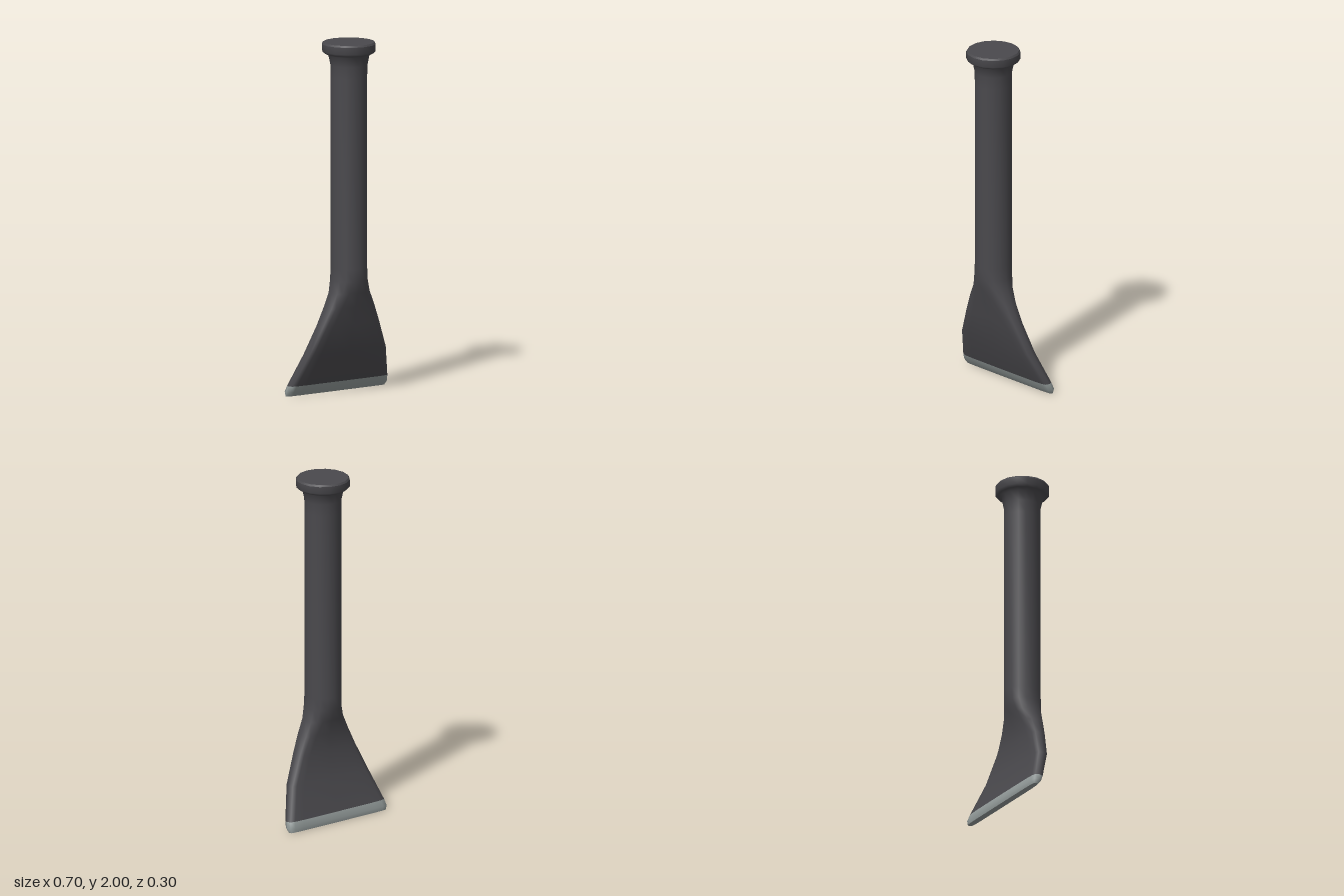
import * as THREE from 'three';

const SIDES = 16;

// Rings from top to bottom: [y, half width, front z, back z, squareness (2 = round)]
const RINGS = [
  [1.99, 0.152, 0.152, -0.152, 2],
  [1.95, 0.152, 0.152, -0.152, 2],
  [1.937, 0.138, 0.138, -0.138, 2],
  [1.927, 0.117, 0.117, -0.117, 2],
  [1.87, 0.105, 0.105, -0.105, 2],
  [1.8, 0.104, 0.104, -0.104, 2],
  [0.72, 0.104, 0.104, -0.104, 2],
  [0.65, 0.106, 0.104, -0.102, 2.1],
  [0.58, 0.121, 0.085, -0.081, 2.6],
  [0.5, 0.156, 0.064, -0.063, 3.6],
  [0.4, 0.202, 0.038, -0.058, 4.5],
  [0.24, 0.275, 0.0, -0.079, 5.5],
  [0.06, 0.342, -0.075, -0.142, 6],
  [0.025, 0.351, -0.092, -0.152, 6],
  [0.0, 0.344, -0.112, -0.149, 6],
];

// Points of one cross-section, a superellipse between its front and back
function ringPoints([y, w, front, back, n]) {
  const power = (v) => Math.sign(v) * Math.pow(Math.abs(v), 2 / n);
  const points = [];
  for (let j = 0; j < SIDES; j++) {
    const a = (j / SIDES) * Math.PI * 2;
    const c = Math.abs(Math.cos(a)) < 1e-9 ? 0 : Math.cos(a);
    const s = Math.abs(Math.sin(a)) < 1e-9 ? 0 : Math.sin(a);
    points.push([power(c) * w, y, (front + back) / 2 + (power(s) * (front - back)) / 2]);
  }
  return points;
}

// Triangles joining rings first to last
function bandIndex(first, last) {
  const index = [];
  for (let i = first; i < last; i++) {
    for (let j = 0; j < SIDES; j++) {
      const k = (j + 1) % SIDES;
      const a = i * SIDES + j, b = i * SIDES + k;
      const c = a + SIDES, d = b + SIDES;
      index.push(a, b, c, b, d, c);
    }
  }
  return index;
}

// Flat end face over a ring
function endFace(ring, up) {
  const points = ringPoints(ring);
  const positions = points.flat();
  positions.push(0, ring[0], (ring[2] + ring[3]) / 2);
  const index = [];
  for (let j = 0; j < SIDES; j++) {
    const k = (j + 1) % SIDES;
    index.push(SIDES, up ? k : j, up ? j : k);
  }
  const geometry = new THREE.BufferGeometry();
  geometry.setAttribute('position', new THREE.Float32BufferAttribute(positions, 3));
  geometry.setIndex(index);
  geometry.computeVertexNormals();
  return geometry;
}

export function createModel() {
  const group = new THREE.Group();
  group.name = 'flaredChisel';
  const darkIron = new THREE.MeshStandardMaterial({ color: 0x4a494d });
  darkIron.name = 'darkIron';
  const steel = new THREE.MeshStandardMaterial({ color: 0x939b9a });
  steel.name = 'steel';

  const add = (name, geometry, material) => {
    const mesh = new THREE.Mesh(geometry, material);
    mesh.name = name;
    group.add(mesh);
  };

  // One smooth skin; the parts share its points and normals
  const skin = new THREE.BufferGeometry();
  skin.setAttribute('position', new THREE.Float32BufferAttribute(RINGS.flatMap(ringPoints).flat(), 3));
  skin.setIndex(bandIndex(0, RINGS.length - 1));
  skin.computeVertexNormals();
  const band = (first, last) => {
    const part = skin.clone();
    part.setIndex(bandIndex(first, last));
    return part;
  };
  add('strikingCollar', band(0, 4), darkIron);
  add('handle', band(4, 7), darkIron);
  add('blade', band(7, 12), darkIron);
  add('cuttingEdge', band(12, 14), steel);

  // Bevelled striking face on top
  const bevel = new THREE.CylinderGeometry(0.145, 0.152, 0.01, SIDES, 1, true);
  bevel.translate(0, 1.995, 0);
  add('strikingBevel', bevel, darkIron);
  add('strikingFace', endFace([2, 0.145, 0.145, -0.145, 2], true), darkIron);

  // Underside of the cutting edge
  add('edgeUnderside', endFace(RINGS[RINGS.length - 1], false), steel);
  return group;
}
